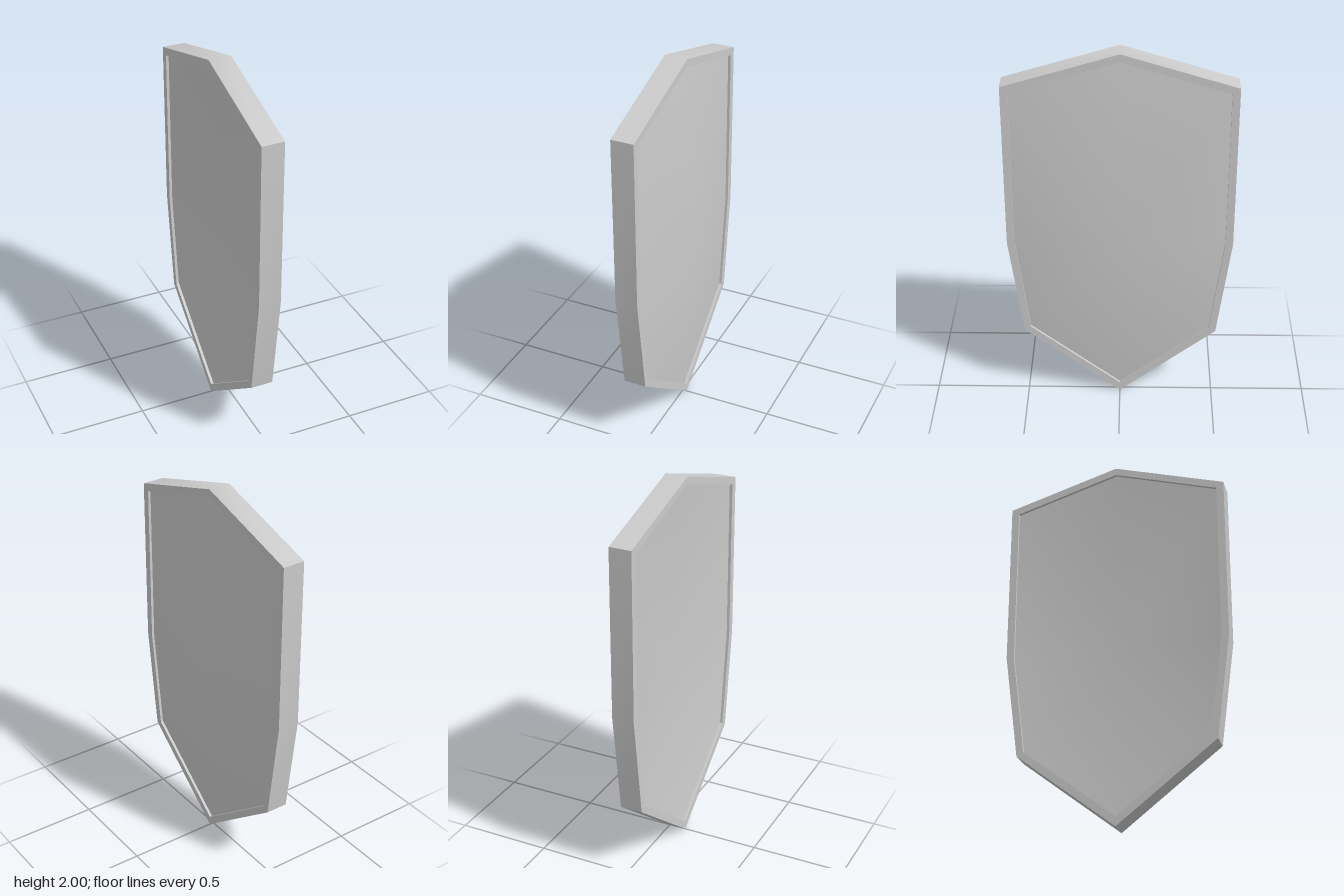
import * as THREE from 'three';
import { toCreasedNormals } from 'three/addons/utils/BufferGeometryUtils.js';

// Half outlines from the top tip to the bottom tip: [half width, height]
const OUTER = [[0, 2], [0.582, 1.825], [0.582, 0.945], [0.51, 0.4], [0, 0]];
const INNER = [[0, 1.96], [0.543, 1.795], [0.543, 0.945], [0.475, 0.42], [0, 0.05]];
const RIM_BACK = -0.094, RIM_FRONT = 0.023;
const FRONT_EDGE = 0.009, BACK_EDGE = -0.079, RISE = 0.084;

// Mirror a half outline into a full counter-clockwise loop
function loop(half) {
  const left = half.map(([x, y]) => new THREE.Vector2(-x, y));
  const right = half.slice(1, -1).reverse().map(([x, y]) => new THREE.Vector2(x, y));
  return [...left, ...right];
}

// Shallow pyramid rising toward +z from a loop, seen from +z or -z
function pyramid(points, edgeZ, facing) {
  const pos = [0, 0.96, edgeZ + RISE];
  points.forEach(p => pos.push(p.x, p.y, edgeZ));
  const index = [];
  const n = points.length;
  for (let i = 0; i < n; i++) {
    const a = 1 + i, b = 1 + (i + 1) % n;
    index.push(0, ...(facing > 0 ? [a, b] : [b, a]));
  }
  const geo = new THREE.BufferGeometry();
  geo.setAttribute('position', new THREE.Float32BufferAttribute(pos, 3));
  geo.setIndex(index);
  geo.computeVertexNormals();
  return geo;
}

export function createModel() {
  const group = new THREE.Group();
  group.name = 'shield';
  const material = new THREE.MeshStandardMaterial({ color: 0xcccccc });
  const inner = loop(INNER);

  // Shapes are drawn facing +z, then turned to face +x
  const add = (name, geo) => {
    geo.rotateY(Math.PI / 2);
    const mesh = new THREE.Mesh(geo, material);
    mesh.name = name;
    group.add(mesh);
  };

  // Raised frame around the shield, smooth over its gentle corners
  const shape = new THREE.Shape(loop(OUTER));
  shape.holes.push(new THREE.Path(inner));
  const rim = new THREE.ExtrudeGeometry(shape, { depth: RIM_FRONT - RIM_BACK, bevelEnabled: false });
  rim.translate(0, 0, RIM_BACK);
  add('rim', toCreasedNormals(rim, 0.7));

  // Pointed face and the matching hollow behind it
  add('frontPanel', pyramid(inner, FRONT_EDGE, 1));
  add('backPanel', pyramid(inner, BACK_EDGE, -1));

  return group;
}
